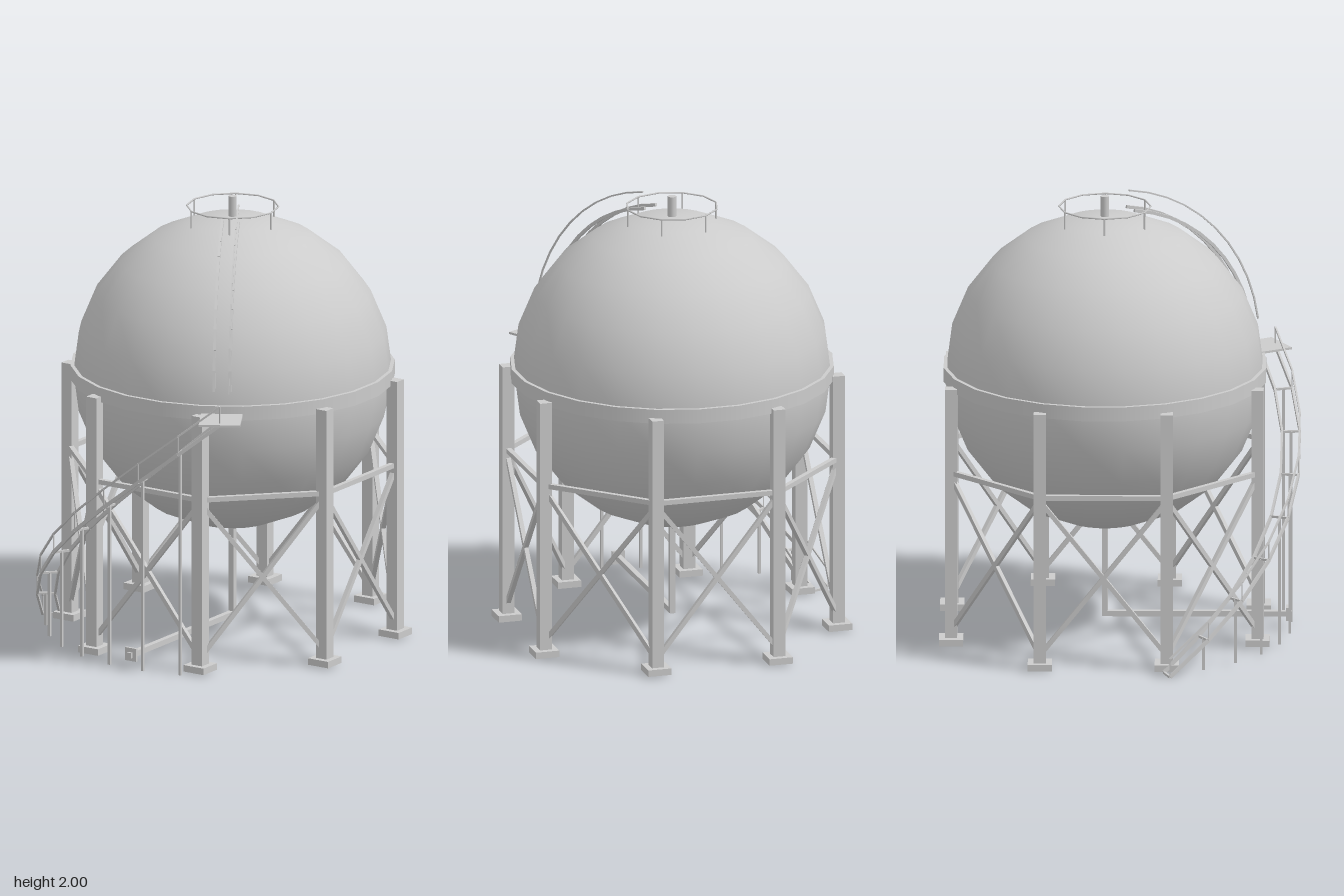
import * as THREE from 'three';

const CX = 0.04, CY = 1.2, CZ = -0.07; // centre of the sphere
const material = new THREE.MeshStandardMaterial({ color: 0xcccccc });
const rad = THREE.MathUtils.degToRad;

// Point at an angle (degrees, 0 = +x, 90 = +z) around the tank axis
const polar = (deg, r, y) =>
  new THREE.Vector3(CX + r * Math.cos(rad(deg)), y, CZ + r * Math.sin(rad(deg)));

function add(parent, name, geometry, x = 0, y = 0, z = 0) {
  const mesh = new THREE.Mesh(geometry, material);
  mesh.name = name;
  mesh.position.set(x, y, z);
  parent.add(mesh);
  return mesh;
}

// Rectangular bar between two points
function bar(parent, name, a, b, w, h = w) {
  const mid = a.clone().add(b).multiplyScalar(0.5);
  const mesh = add(parent, name, new THREE.BoxGeometry(w, h, a.distanceTo(b)), mid.x, mid.y, mid.z);
  mesh.lookAt(b);
  return mesh;
}

function polyline(parent, name, points, w, h = w) {
  for (let i = 1; i < points.length; i++) bar(parent, name, points[i - 1], points[i], w, h);
}

function section(parent, name) {
  const g = new THREE.Group();
  g.name = name;
  parent.add(g);
  return g;
}

function buildTank(root) {
  const g = section(root, 'tank');
  add(g, 'sphere', new THREE.SphereGeometry(0.71, 24, 12), CX, CY, CZ).rotation.y = rad(7.5);
  add(g, 'equatorBelt', new THREE.CylinderGeometry(0.723, 0.723, 0.065, 24), CX, 1.197, CZ).rotation.y = rad(7.5);
  add(g, 'topNozzle', new THREE.CylinderGeometry(0.019, 0.019, 0.13, 10), CX, 1.935, CZ);
}

function buildSupports(root) {
  const g = section(root, 'supports');
  const R = 0.738;
  for (let i = 0; i < 8; i++) {
    const a = 22.5 + 45 * i, b = a + 45;
    const p = polar(a, R, 0);
    add(g, 'column', new THREE.BoxGeometry(0.055, 1.15, 0.055), p.x, 0.615, p.z);
    add(g, 'foot', new THREE.BoxGeometry(0.108, 0.03, 0.108), p.x, 0.025, p.z);
    bar(g, 'tieBeam', polar(a, R, 0.8), polar(b, R, 0.8), 0.022);
    bar(g, 'crossBrace', polar(a, R, 0.07), polar(b, R, 0.785), 0.02);
    bar(g, 'crossBrace', polar(a, R, 0.785), polar(b, R, 0.07), 0.02);
  }
}

function buildDrain(root) {
  const g = section(root, 'drainPipe');
  add(g, 'downPipe', new THREE.BoxGeometry(0.025, 0.46, 0.025), CX, 0.288, CZ);
  add(g, 'outletPipe', new THREE.BoxGeometry(0.025, 0.025, 0.83), CX, 0.07, 0.345);
  add(g, 'flange', new THREE.BoxGeometry(0.06, 0.06, 0.012), CX, 0.072, 0.742);
}

function buildStair(root) {
  const g = section(root, 'spiralStair');
  const steps = 8, inner = [], outer = [], rail = [];
  for (let k = 0; k <= steps; k++) {
    const a = 160 - 12.5 * k, y = 0.01 + 1.175 * k / steps;
    inner.push(polar(a, 0.79, y));
    outer.push(polar(a, 0.87, y));
    rail.push(polar(a, 0.87, y + 0.085));
    bar(g, 'tread', inner[k], outer[k], 0.01);
    bar(g, 'railPost', outer[k], rail[k], 0.005);
    if (k > 0 && k < steps) {
      const p = polar(a, 0.83, 0);
      add(g, 'stairPost', new THREE.BoxGeometry(0.012, y - 0.01, 0.012), p.x, (y + 0.01) / 2, p.z);
    }
  }
  polyline(g, 'innerStringer', inner, 0.01, 0.016);
  polyline(g, 'outerStringer', outer, 0.01, 0.016);
  polyline(g, 'handrail', rail, 0.008);
  const p = polar(60, 0.81, 1.19);
  add(g, 'platform', new THREE.BoxGeometry(0.185, 0.01, 0.185), p.x, p.y, p.z).rotation.y = rad(-60);
}

function buildLadder(root) {
  const g = section(root, 'sphereLadder');
  // Arc over the tank, shifted sideways from its meridian
  const arc = (r, side) => Array.from({ length: 11 }, (_, i) => {
    const t = rad(7.8 + 7.2 * i);
    const p = polar(60, r * Math.cos(t), CY + r * Math.sin(t));
    return p.add(new THREE.Vector3(0.866 * side, 0, -0.5 * side));
  });
  polyline(g, 'ladderRail', arc(0.735, -0.036), 0.012, 0.014);
  polyline(g, 'ladderRail', arc(0.735, 0.036), 0.012, 0.014);
  polyline(g, 'ladderHandrail', arc(0.81, 0.036), 0.007);
}

function buildTopRailing(root) {
  const g = section(root, 'topRailing');
  const ring = add(g, 'railingRing', new THREE.TorusGeometry(0.205, 0.004, 5, 12), CX, 1.953, CZ);
  ring.rotation.x = Math.PI / 2;
  for (let i = 0; i < 6; i++) {
    const p = polar(60 * i, 0.205, 1.914);
    add(g, 'railingPost', new THREE.CylinderGeometry(0.004, 0.004, 0.08, 6), p.x, p.y, p.z);
  }
}

export function createModel() {
  const root = new THREE.Group();
  root.name = 'sphericalStorageTank';
  buildTank(root);
  buildSupports(root);
  buildDrain(root);
  buildStair(root);
  buildLadder(root);
  buildTopRailing(root);
  return root;
}
